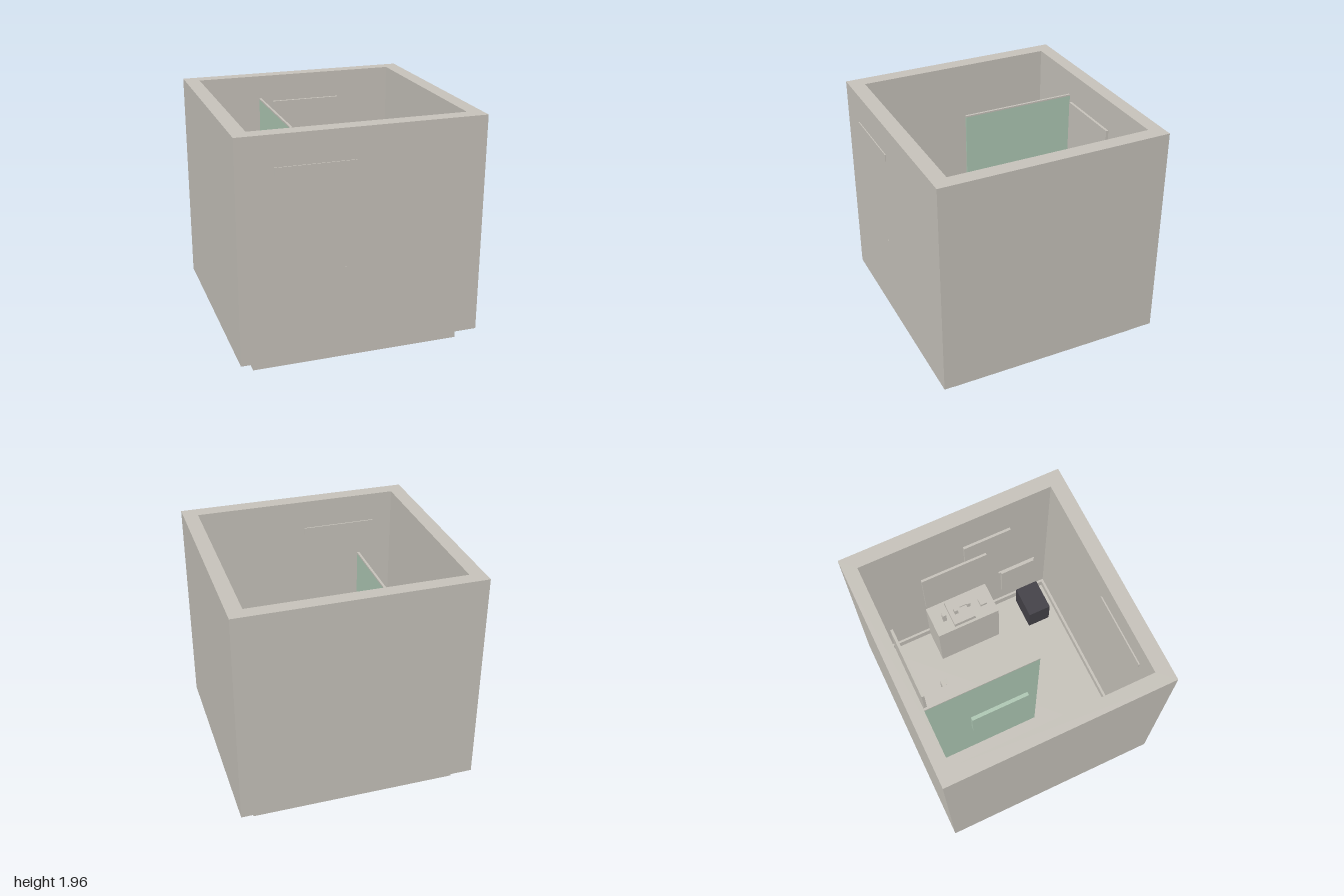
import * as THREE from 'three';

export function createModel() {
  const mat = (name, color) => {
    const m = new THREE.MeshStandardMaterial({ color });
    m.name = name;
    return m;
  };
  const plaster = mat('plaster', 0xc9c5bd);
  const glass = mat('greenGlass', 0xb0cab6);
  const dark = mat('charcoal', 0x454349);

  const root = new THREE.Group();
  root.name = 'bathroom';
  const group = (name) => {
    const g = new THREE.Group();
    g.name = name;
    root.add(g);
    return g;
  };
  // Box given by its extents along each axis
  const box = (parent, name, [x0, x1], [y0, y1], [z0, z1], material = plaster) => {
    const mesh = new THREE.Mesh(new THREE.BoxGeometry(x1 - x0, y1 - y0, z1 - z0), material);
    mesh.position.set((x0 + x1) / 2, (y0 + y1) / 2, (z0 + z1) / 2);
    mesh.name = name;
    parent.add(mesh);
  };
  // Upright rectangular ring, open at top and bottom
  const ring = (parent, name, outer, inner, y0, y1) => {
    const rect = (path, [x0, x1, z0, z1]) =>
      path.moveTo(x0, -z0).lineTo(x1, -z0).lineTo(x1, -z1).lineTo(x0, -z1).closePath();
    const trace = (Type, [x0, x1, z0, z1]) => {
      const p = new Type();
      p.setFromPoints([[x0, -z0], [x0, -z1], [x1, -z1], [x1, -z0]].map(([a, b]) => new THREE.Vector2(a, b)));
      return p;
    };
    const shape = trace(THREE.Shape, outer);
    shape.holes.push(trace(THREE.Path, inner));
    const geo = new THREE.ExtrudeGeometry(shape, { depth: y1 - y0, bevelEnabled: false });
    geo.rotateX(-Math.PI / 2);
    const mesh = new THREE.Mesh(geo, plaster);
    mesh.position.y = y0;
    mesh.name = name;
    parent.add(mesh);
  };

  // Room shell
  const shell = group('shell');
  const room = [-0.877, 0.877, -0.85, 0.83];
  box(shell, 'plinthFloor', [-0.875, 0.875], [0, 0.14], [-0.845, 0.834]);
  ring(shell, 'walls', [-1, 1, -0.965, 0.957], room, 0.125, 1.96);
  ring(shell, 'skirting', room, [-0.86, 0.856, -0.833, 0.808], 0.13, 0.22);

  // Slot through the front wall and the small door knob
  box(shell, 'frontVent', [-0.705, -0.065], [1.65, 1.71], [0.819, 0.965]);
  box(shell, 'doorKnob', [-0.165, -0.145], [0.845, 0.853], [0.95, 0.962]);

  // Shower enclosure
  const shower = group('shower');
  box(shower, 'showerTray', [-0.86, -0.34], [0.13, 0.17], [-0.833, 0.145]);
  box(shower, 'drain', [-0.722, -0.69], [0.165, 0.175], [0.027, 0.06]);
  box(shower, 'screen', [-0.342, -0.327], [0.14, 1.745], [-0.85, 0.145], glass);
  box(shower, 'screenCap', [-0.344, -0.325], [1.745, 1.758], [-0.85, 0.145]);
  box(shower, 'screenShelf', [-0.374, -0.342], [0.75, 1.05], [-0.475, 0.05], glass);
  box(shower, 'screenRail', [-0.327, -0.319], [1.02, 1.05], [-0.475, 0.05]);

  // Panel on the back wall
  box(root, 'backPanel', [-0.23, 0.382], [1.28, 1.735], [-0.812, -0.79]);

  // Toilet
  const toilet = group('toilet');
  box(toilet, 'toiletBowl', [-0.06, 0.21], [0.14, 0.44], [-0.78, -0.4]);
  box(toilet, 'toiletSeat', [-0.05, 0.2], [0.44, 0.47], [-0.72, -0.58]);
  box(toilet, 'toiletTank', [-0.05, 0.195], [0.44, 0.74], [-0.755, -0.72]);
  box(toilet, 'smallBin', [0.257, 0.32], [0.14, 0.3], [-0.513, -0.444]);

  // Vanity with basin and small items
  const vanity = group('vanity');
  box(vanity, 'vanityCabinet', [0.563, 0.858], [0.14, 0.72], [-0.383, 0.21]);
  box(vanity, 'basin', [0.587, 0.83], [0.72, 0.77], [-0.213, -0.008]);
  box(vanity, 'tap', [0.7, 0.716], [0.82, 0.835], [-0.11, -0.025]);
  box(vanity, 'tapPost', [0.693, 0.722], [0.77, 0.835], [-0.04, -0.01]);
  for (const z of [-0.27, -0.155])
    box(vanity, 'bottle', [0.675, 0.712], [0.72, 0.84], [z - 0.017, z + 0.017]);
  box(vanity, 'soapDish', [0.668, 0.743], [0.72, 0.75], [0.08, 0.14]);
  box(vanity, 'mirror', [0.792, 0.813], [0.9, 1.43], [-0.388, 0.21]);

  // Wall panel and towel rail beside the vanity
  box(root, 'sidePanel', [0.812, 0.834], [1.19, 1.655], [0.02, 0.445]);
  const towels = group('towelRail');
  box(towels, 'towel', [0.76, 0.782], [0.65, 1.0], [0.335, 0.65]);
  box(towels, 'rail', [0.775, 0.79], [0.98, 1.0], [0.315, 0.665]);

  // Dark basket under the towels
  box(root, 'basket', [0.517, 0.81], [0.14, 0.4], [0.51, 0.72], dark);

  return root;
}
